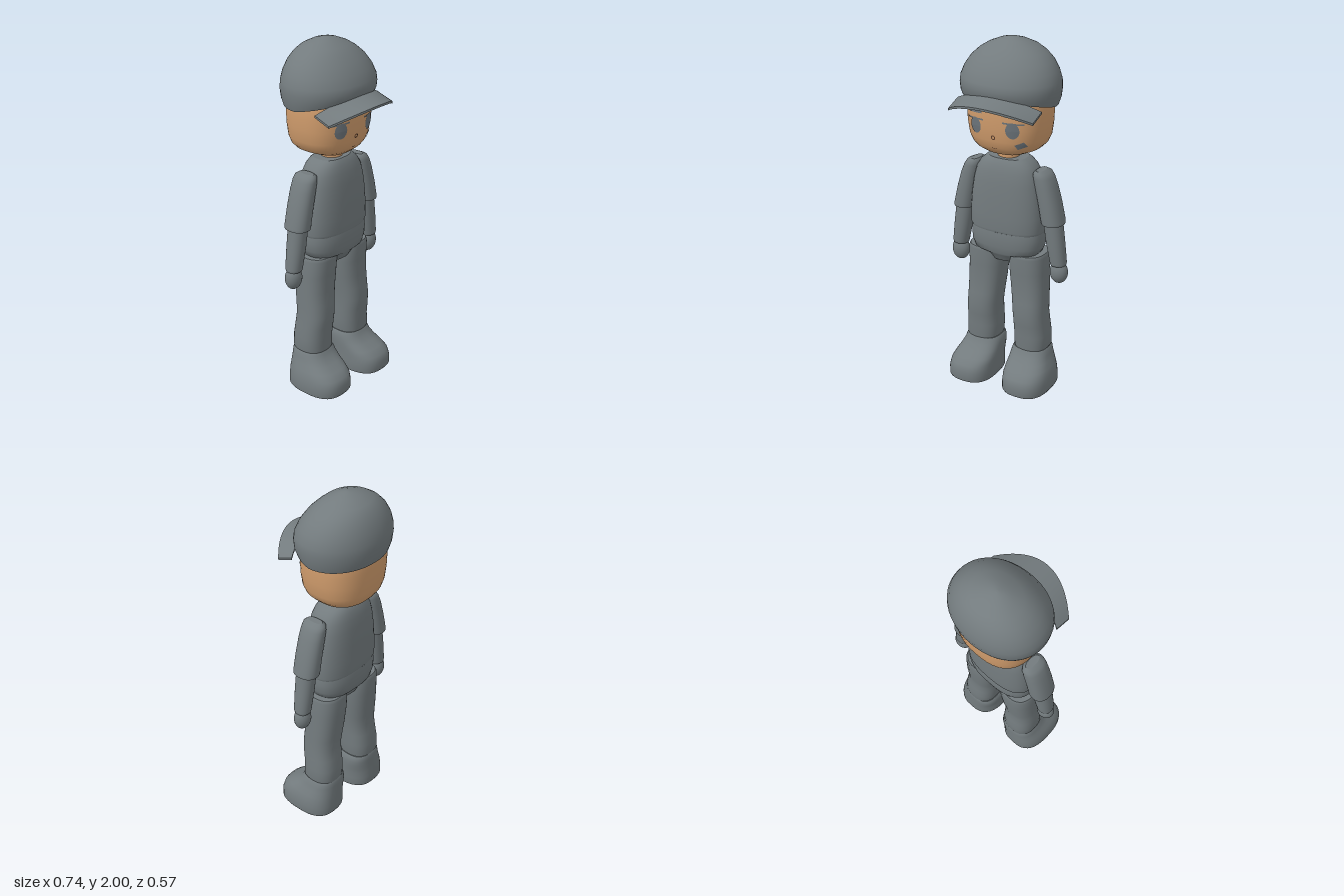
import * as THREE from 'three';

const mat = (name, color, side = THREE.FrontSide) => {
  const m = new THREE.MeshStandardMaterial({ color, side });
  m.name = name;
  return m;
};

// Closed body through rounded cross-sections [y, xMin, xMax, zMin, zMax], bottom to top.
function loft(sections, n = 2.4, seg = 36) {
  const pos = [], idx = [];
  const ring = ([y, x0, x1, z0, z1]) => {
    for (let j = 0; j < seg; j++) {
      const a = (j / seg) * Math.PI * 2, c = Math.cos(a), s = Math.sin(a);
      pos.push(
        (x0 + x1) / 2 + (x1 - x0) / 2 * Math.sign(c) * Math.abs(c) ** (2 / n), y,
        (z0 + z1) / 2 + (z1 - z0) / 2 * Math.sign(s) * Math.abs(s) ** (2 / n));
    }
  };
  sections.forEach(ring);
  for (let i = 0; i < sections.length - 1; i++) {
    for (let j = 0; j < seg; j++) {
      const k = (j + 1) % seg, a = i * seg + j, b = i * seg + k;
      idx.push(a, a + seg, b, b, a + seg, b + seg);
    }
  }
  // caps with their own vertices, so the rims stay crisp
  [sections[0], sections[sections.length - 1]].forEach((s, top) => {
    const o = pos.length / 3;
    ring(s);
    pos.push((s[1] + s[2]) / 2, s[0], (s[3] + s[4]) / 2);
    for (let j = 0; j < seg; j++) {
      const a = o + j, b = o + (j + 1) % seg;
      idx.push(o + seg, ...(top ? [b, a] : [a, b]));
    }
  });
  const g = new THREE.BufferGeometry();
  g.setAttribute('position', new THREE.Float32BufferAttribute(pos, 3));
  g.setIndex(idx);
  g.computeVertexNormals();
  return g;
}

// Move every vertex by a rule.
function warp(g, rule) {
  const p = g.attributes.position, v = new THREE.Vector3();
  for (let i = 0; i < p.count; i++) {
    rule(v.fromBufferAttribute(p, i));
    p.setXYZ(i, v.x, v.y, v.z);
  }
  g.computeVertexNormals();
  return g;
}

const sym = rows => rows.map(([y, rx, z0, z1]) => [y, -rx, rx, z0, z1]);
const flip = (rows, s) => s > 0 ? rows : rows.map(([y, a, b, c, d]) => [y, -b, -a, c, d]);

const HEAD_N = 2.5;
const HEAD = sym([
  [1.383, 0.08, -0.15, 0.04], [1.393, 0.125, -0.19, 0.07], [1.415, 0.175, -0.22, 0.096],
  [1.44, 0.2, -0.236, 0.112], [1.48, 0.218, -0.247, 0.125], [1.55, 0.228, -0.254, 0.134],
  [1.62, 0.231, -0.256, 0.136], [1.68, 0.229, -0.254, 0.134], [1.75, 0.215, -0.24, 0.12]]);

// Front surface of the head at a given x and y.
function faceZ(x, y) {
  let i = 0;
  while (i < HEAD.length - 2 && HEAD[i + 1][0] < y) i++;
  const t = (y - HEAD[i][0]) / (HEAD[i + 1][0] - HEAD[i][0]);
  const [, , rx, z0, z1] = HEAD[i].map((v, k) => v + (HEAD[i + 1][k] - v) * t);
  const q = Math.max(0, 1 - Math.abs(x / rx) ** HEAD_N) ** (1 / HEAD_N);
  return (z0 + z1) / 2 + (z1 - z0) / 2 * q;
}
const onFace = (g, cx, cy, roll = 0) => warp(g.rotateZ(roll), v => {
  v.x += cx;
  v.y += cy;
  v.z = faceZ(v.x, v.y) + 0.004;
});

export function createModel() {
  const root = new THREE.Group();
  root.name = 'figure';
  const grey = mat('grey', 0x737b7e);
  const skin = mat('skin', 0xd09c6c);
  const paint = mat('face grey', 0x6c747a, THREE.DoubleSide);
  const line = mat('dark brown', 0x5c3d2b, THREE.DoubleSide);
  const add = (name, g, m) => {
    const mesh = new THREE.Mesh(g, m);
    mesh.name = name;
    root.add(mesh);
  };

  // head and neck
  add('head', loft(HEAD, HEAD_N, 48), skin);
  add('neck', new THREE.CylinderGeometry(0.06, 0.06, 0.1, 24).translate(0, 1.37, -0.04), skin);

  // cap dome, its lower rim rising towards the front
  const dome = loft(sym([
    [1.66, 0.266, -0.268, 0.155], [1.7, 0.278, -0.28, 0.165], [1.75, 0.283, -0.286, 0.168],
    [1.79, 0.28, -0.284, 0.163], [1.84, 0.262, -0.274, 0.14], [1.89, 0.23, -0.255, 0.105],
    [1.93, 0.188, -0.23, 0.066], [1.96, 0.14, -0.2, 0.03], [1.985, 0.08, -0.15, -0.02],
    [1.997, 0.035, -0.11, -0.05], [2, 0.006, -0.085, -0.075]]), 2.1, 48);
  add('capDome', warp(dome, v => {
    const low = THREE.MathUtils.clamp((1.77 - v.y) / 0.11, 0, 1);
    v.y += 0.05 * low * Math.max(0, (v.z + 0.06) / 0.23);
  }), grey);

  // curved, drooping brim
  add('capBrim', warp(new THREE.BoxGeometry(2, 1, 1, 28, 1, 6), v => {
    const u2 = v.x * v.x, t = v.z + 0.5;
    v.x *= 0.255;
    v.z = (0.14 - 0.07 * u2) * (1 - t) + (0.285 - 0.12 * u2) * t;
    v.y = 1.73 - 0.068 * u2 - (0.03 + 0.006 * u2) * t + v.y * 0.012;
  }), grey);

  // painted face
  for (const s of [1, -1]) {
    add('eye', onFace(new THREE.RingGeometry(0, 1, 24, 3).scale(0.036, 0.045, 1), s * 0.11, 1.553), paint);
    add('eyelid', onFace(new THREE.PlaneGeometry(0.11, 0.009, 8, 1), s * 0.113, 1.591, -s * 0.04), paint);
    add('eyebrow', onFace(new THREE.PlaneGeometry(0.096, 0.015, 8, 1), s * 0.115, 1.631, -s * 0.06), paint);
  }
  add('cheekPatch', onFace(new THREE.PlaneGeometry(0.05, 0.03, 4, 3), 0.145, 1.467, 0.4), paint);
  add('nose', onFace(new THREE.RingGeometry(0.007, 0.013, 16, 1), 0, 1.502), line);
  add('mouth', onFace(new THREE.PlaneGeometry(0.03, 0.003, 6, 1), 0, 1.438), line);

  // torso and hips
  add('torso', loft(sym([
    [0.935, 0.214, -0.165, 0.085], [0.95, 0.22, -0.17, 0.09], [1.03, 0.22, -0.17, 0.091],
    [1.13, 0.212, -0.168, 0.088], [1.22, 0.198, -0.163, 0.082], [1.28, 0.182, -0.156, 0.073],
    [1.32, 0.158, -0.145, 0.062], [1.345, 0.13, -0.133, 0.05], [1.356, 0.108, -0.122, 0.042]]), 2.6), grey);
  add('hips', loft(sym([
    [0.755, 0.082, -0.125, 0.045], [0.797, 0.105, -0.145, 0.07], [0.81, 0.195, -0.158, 0.08],
    [0.85, 0.212, -0.167, 0.087], [0.9, 0.216, -0.17, 0.09], [0.937, 0.212, -0.166, 0.086]]), 2.6), grey);

  for (const s of [1, -1]) {
    // arms
    add('sleeve', loft(flip([
      [1.01, 0.218, 0.338, -0.112, 0.032], [1.025, 0.214, 0.338, -0.114, 0.034],
      [1.13, 0.195, 0.314, -0.114, 0.034], [1.22, 0.175, 0.288, -0.113, 0.033],
      [1.27, 0.165, 0.267, -0.111, 0.031], [1.295, 0.165, 0.25, -0.105, 0.027],
      [1.308, 0.18, 0.222, -0.085, 0.01]], s), 2.3), grey);
    add('forearm', loft(flip([
      [0.77, 0.27, 0.355, -0.082, 0.004], [0.785, 0.266, 0.358, -0.085, 0.008],
      [0.9, 0.242, 0.345, -0.09, 0.014], [1.03, 0.222, 0.328, -0.092, 0.016]], s), 2.2), grey);
    add('hand', new THREE.SphereGeometry(1, 24, 16).scale(0.052, 0.066, 0.044)
      .translate(s * 0.316, 0.725, -0.04), grey);

    // legs
    add('leg', loft(flip([
      [0.215, 0.065, 0.245, -0.14, 0.045], [0.235, 0.057, 0.256, -0.15, 0.055],
      [0.31, 0.053, 0.255, -0.149, 0.053], [0.38, 0.053, 0.25, -0.14, 0.062],
      [0.45, 0.05, 0.245, -0.132, 0.068], [0.52, 0.043, 0.243, -0.138, 0.062],
      [0.6, 0.033, 0.241, -0.146, 0.057], [0.7, 0.023, 0.238, -0.153, 0.06],
      [0.795, 0.02, 0.236, -0.156, 0.067], [0.812, 0.03, 0.228, -0.148, 0.06]], s), 2.5), grey);

    // boots
    add('boot', loft(flip([
      [0, 0.046, 0.305, -0.15, 0.192], [0.012, 0.04, 0.312, -0.156, 0.2],
      [0.06, 0.04, 0.311, -0.156, 0.2], [0.1, 0.041, 0.304, -0.155, 0.188],
      [0.13, 0.041, 0.292, -0.154, 0.15], [0.16, 0.041, 0.278, -0.153, 0.105],
      [0.19, 0.042, 0.266, -0.152, 0.072], [0.215, 0.047, 0.26, -0.151, 0.058],
      [0.228, 0.056, 0.25, -0.146, 0.05]], s), 2.7), grey);
  }
  return root;
}
